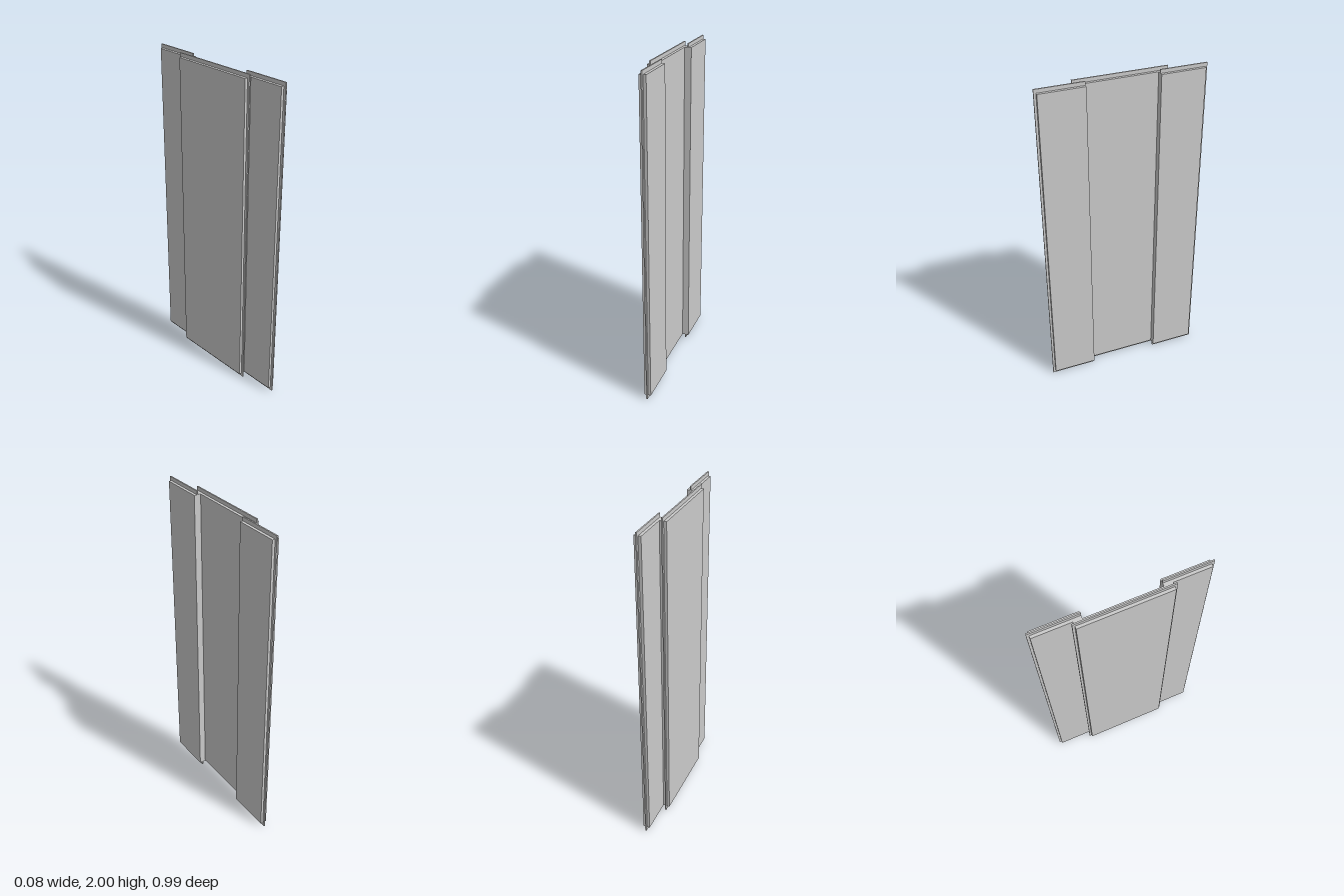
import * as THREE from 'three';

const HEIGHT = 2;         // core sheet height
const LIP = 0.022;        // how far the core shows above and below the faces
const TONGUE = 0.0135;    // how far the core shows at a side edge
const THICK = 0.041;      // panel thickness
const CORE = 0.008;       // core sheet thickness

const material = new THREE.MeshStandardMaterial({ color: 0xcccccc, flatShading: true });

function slab(name, thick, x, y0, y1, z0, z1) {
  const mesh = new THREE.Mesh(new THREE.BoxGeometry(thick, y1 - y0, z1 - z0), material);
  mesh.name = name;
  mesh.position.set(x, (y0 + y1) / 2, (z0 + z1) / 2);
  return mesh;
}

// One sliding leaf: two face boards with a thin core sheet between them
function leaf({ name, x, body, core }) {
  const group = new THREE.Group();
  group.name = name;
  const board = (THICK - CORE) / 2;
  for (const side of [-1, 1]) {
    group.add(slab(side < 0 ? 'rightFaceBoard' : 'leftFaceBoard', board,
      x + side * (CORE + board) / 2, LIP, HEIGHT - LIP, ...body));
  }
  group.add(slab('coreSheet', CORE, x, 0, HEIGHT, ...core));
  return group;
}

export function createModel() {
  const model = new THREE.Group();
  model.name = 'slidingDoor';
  const x = THICK / 2;
  const outer = [0.214, 0.4815];
  const inner = 0.2635;

  const leaves = [
    // outer pair on the left track
    { name: 'frontOuterLeaf', x, body: outer, core: [outer[0], outer[1] + TONGUE] },
    { name: 'backOuterLeaf', x, body: [-outer[1], -outer[0]], core: [-outer[1] - TONGUE, -outer[0]] },
    // inner pair on the right track, meeting in a tongue and groove
    { name: 'frontInnerLeaf', x: -x, body: [0, inner], core: [-TONGUE, inner + TONGUE] },
    { name: 'backInnerLeaf', x: -x, body: [-inner, 0], core: [-inner - TONGUE, -TONGUE] },
  ];
  leaves.forEach((spec) => model.add(leaf(spec)));
  return model;
}
